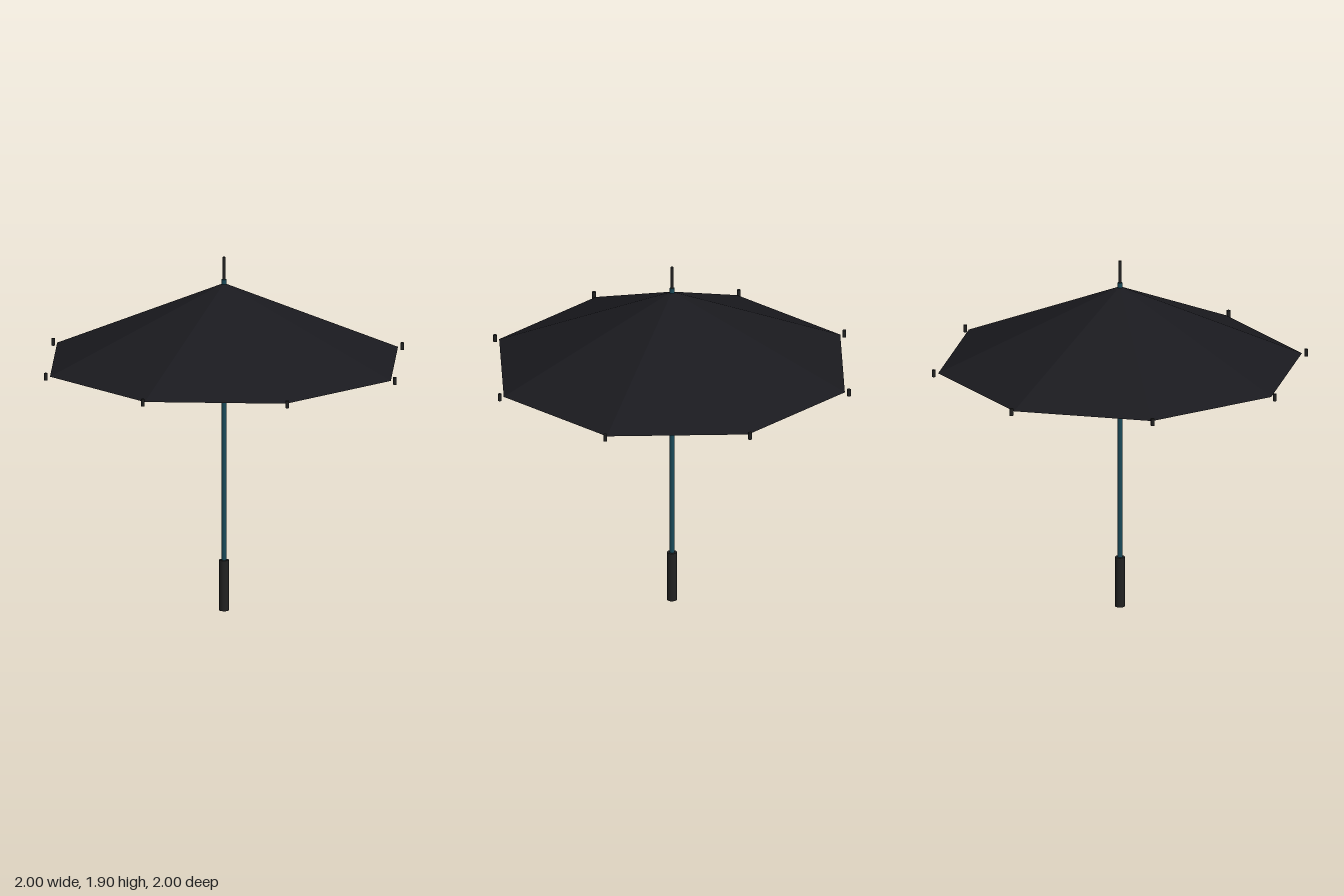
import * as THREE from 'three';

export function createModel() {
  const group = new THREE.Group();
  const black = new THREE.MeshStandardMaterial({ color: 0x222222 });
  const teal = new THREE.MeshStandardMaterial({ color: 0x1a4a5a });
  const fabric = new THREE.MeshStandardMaterial({ color: 0x1a1a1f });
  fabric.flatShading = true;
  fabric.side = THREE.DoubleSide;

  // Upright rod between two heights
  function rod(name, radius, y0, y1, material, x = 0, z = 0, sides = 16) {
    const mesh = new THREE.Mesh(new THREE.CylinderGeometry(radius, radius, y1 - y0, sides), material);
    mesh.name = name;
    mesh.position.set(x, (y0 + y1) / 2, z);
    group.add(mesh);
  }

  rod('handle', 0.026, 0, 0.272, black);
  rod('shaft', 0.013, 0.27, 1.785, teal);
  rod('topSpike', 0.008, 1.76, 1.905, black);

  // Eight-panel canopy, open underneath
  const canopy = new THREE.Mesh(new THREE.ConeGeometry(0.967, 0.425, 8, 1, true), fabric);
  canopy.name = 'canopy';
  canopy.position.y = 1.34 + 0.425 / 2;
  group.add(canopy);

  // Rib tips just beyond the canopy corners
  for (let i = 0; i < 8; i++) {
    const a = (i * Math.PI) / 4;
    rod('ribTip' + (i + 1), 0.01, 1.323, 1.361, black, 0.99 * Math.sin(a), 0.99 * Math.cos(a), 12);
  }
  return group;
}
